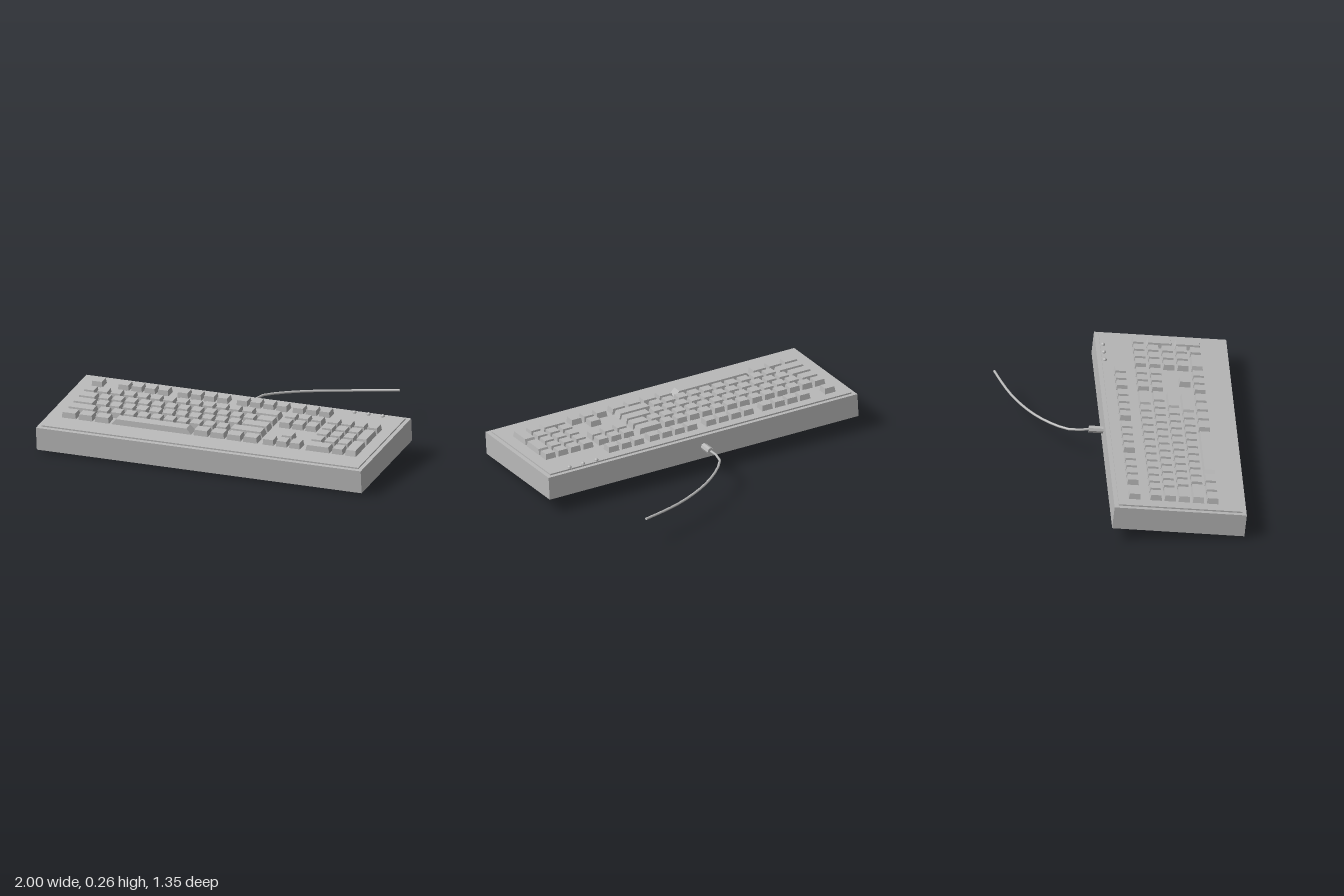
import * as THREE from 'three';

const U = 0.0811;      // key pitch
const GAP = 0.014;     // space between keys
const PLATE_TOP = 0.145;
const TILT = THREE.MathUtils.degToRad(6);

const grey = new THREE.MeshStandardMaterial({ color: 0xb8b8b8 });
grey.name = 'grey plastic';

function add(parent, name, geometry, x = 0, y = 0, z = 0) {
  const mesh = new THREE.Mesh(geometry, grey);
  mesh.name = name;
  mesh.position.set(x, y, z);
  parent.add(mesh);
  return mesh;
}

// Key cap: a box whose upper face is narrowed
function keyCap(width, depth) {
  const height = 0.033, taper = 0.88;
  const g = new THREE.BoxGeometry(width, height, depth);
  g.translate(0, height / 2, 0);
  const p = g.attributes.position;
  for (let i = 0; i < p.count; i++) {
    if (p.getY(i) > 0.01) p.setXYZ(i, p.getX(i) * taper, p.getY(i), p.getZ(i) * taper);
  }
  g.computeVertexNormals();
  return g;
}

const repeat = (n, w = 1) => Array(n).fill(w);

// Each block: start column in key units, then key widths
const ROWS = [
  [[0, [1]], [2, repeat(4)], [6.5, repeat(4)], [11, repeat(4)], [15.25, repeat(3)]],
  [[0, [...repeat(13), 2]], [15.25, repeat(3)], [18.5, repeat(4)]],
  [[0, [1.5, ...repeat(12), 1.5]], [15.25, repeat(3)], [18.5, repeat(3)]],
  [[0, [1.75, ...repeat(11), 2.25]], [18.5, repeat(3)]],
  [[0, [2.25, ...repeat(10), 2.75]], [16.25, [1]], [18.5, repeat(3)]],
  [[0, [...repeat(3, 1.25), 6.25, ...repeat(4, 1.25)]], [15.25, repeat(3)], [18.5, [2, 1]]],
];
const rowZ = (r) => (r === 0 ? -0.26 : -0.1375 + (r - 1) * U);

function buildKeys() {
  const keys = new THREE.Group();
  keys.name = 'keys';
  const place = (column, width, z, rows = 1) =>
    add(keys, width > 5 ? 'spaceBar' : 'key', keyCap(width * U - GAP, rows * U - GAP),
      (column + width / 2 - 11.25) * U, PLATE_TOP, z);
  ROWS.forEach((blocks, r) => {
    for (const [start, widths] of blocks) {
      let column = start;
      for (const w of widths) {
        place(column, w, rowZ(r));
        column += w;
      }
    }
  });
  // Two double-height keys at the end of the number pad
  for (const r of [2, 4]) place(21.5, 1, rowZ(r) + U / 2, 2);
  return keys;
}

export function createModel() {
  const model = new THREE.Group();
  model.name = 'keyboard';

  // Everything but the cable leans toward the front
  const board = new THREE.Group();
  board.name = 'board';
  board.position.set(0, 0.052, 0.284);
  board.rotation.x = TILT;
  model.add(board);

  add(board, 'case', new THREE.BoxGeometry(2, 0.137, 0.758), 0, 0.0685, 0);
  add(board, 'topPlate', new THREE.BoxGeometry(1.95, 0.01, 0.708), 0, PLATE_TOP - 0.005, 0);
  board.add(buildKeys());

  // Indicator lights
  for (const x of [0.668, 0.755, 0.842]) {
    add(board, 'indicatorLight', new THREE.SphereGeometry(0.012, 12, 8), x, 0.147, -0.338);
  }

  // Feet
  for (const x of [-0.867, 0.867]) {
    for (const z of [-0.28, 0.28]) {
      add(board, 'foot', new THREE.CylinderGeometry(0.038, 0.038, 0.021, 16), x, -0.0085, z);
    }
  }

  // Cable and its sleeve
  const sleeve = new THREE.CylinderGeometry(0.021, 0.021, 0.09, 8).toNonIndexed();
  sleeve.rotateX(Math.PI / 2);
  sleeve.computeVertexNormals();
  add(board, 'cableSleeve', sleeve, -0.003, 0.071, -0.416);

  const path = new THREE.CatmullRomCurve3([
    [-0.003, 0.170, -0.15], [-0.01, 0.171, -0.206], [0, 0.171, -0.28],
    [0.07, 0.167, -0.366], [0.174, 0.163, -0.452], [0.297, 0.160, -0.524],
    [0.436, 0.160, -0.586], [0.56, 0.164, -0.628], [0.687, 0.170, -0.665],
  ].map((p) => new THREE.Vector3(...p)));
  add(model, 'cable', new THREE.TubeGeometry(path, 14, 0.0075, 8));
  const end = add(model, 'cableEnd', new THREE.CircleGeometry(0.0075, 8), 0.687, 0.170, -0.665);
  end.lookAt(end.position.clone().add(path.getTangent(1)));

  return model;
}
